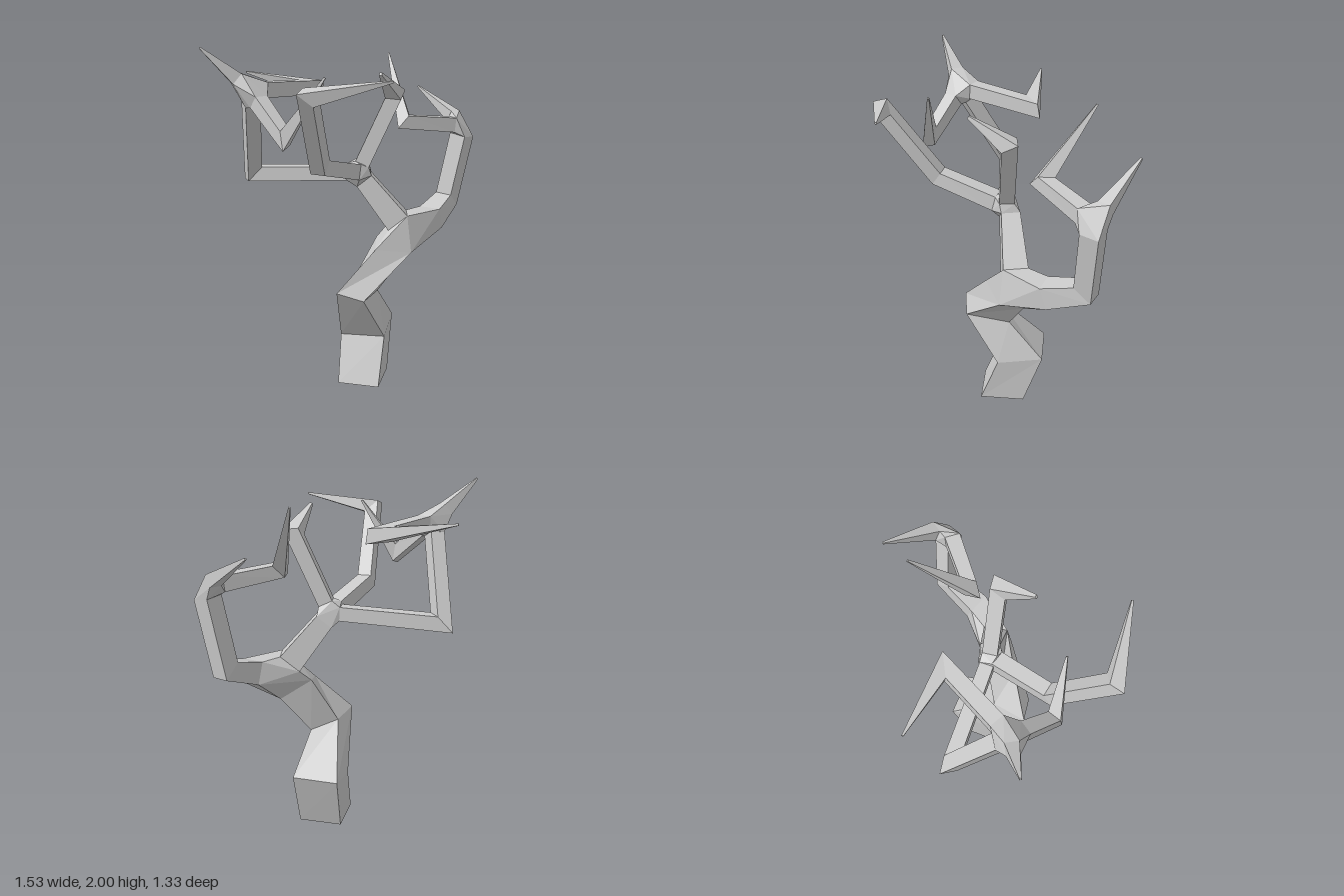
import * as THREE from 'three';
import { ConvexGeometry } from 'three/addons/geometries/ConvexGeometry.js';

const V = (p) => new THREE.Vector3(...p);
const UP = new THREE.Vector3(0, 1, 0);

// Joins four-cornered rings (counter-clockwise about the direction of travel) and caps both ends
function loft(rings) {
  const pos = [];
  const quad = (a, b, c, d) => [a, b, c, a, c, d].forEach((p) => pos.push(p.x, p.y, p.z));
  for (let i = 0; i + 1 < rings.length; i++) {
    for (let k = 0; k < 4; k++) {
      const n = (k + 1) % 4;
      quad(rings[i][k], rings[i][n], rings[i + 1][n], rings[i + 1][k]);
    }
  }
  const first = rings[0], last = rings[rings.length - 1];
  quad(first[3], first[2], first[1], first[0]);
  quad(last[0], last[1], last[2], last[3]);
  const g = new THREE.BufferGeometry();
  g.setAttribute('position', new THREE.Float32BufferAttribute(pos, 3));
  g.computeVertexNormals();
  return g;
}

// Square rings along a path of [x, y, z, halfWidth], mitred at the bends
function limbRings(nodes) {
  const pts = nodes.map(([x, y, z]) => V([x, y, z]));
  const dirs = pts.slice(1).map((p, i) => p.clone().sub(pts[i]).normalize());
  const u = UP.clone().addScaledVector(dirs[0], -UP.dot(dirs[0])).normalize();
  const v = dirs[0].clone().cross(u);
  return pts.map((p, i) => {
    const d = dirs[Math.max(i - 1, 0)];
    const next = dirs[Math.min(i, dirs.length - 1)];
    const n = d.clone().add(next).normalize();
    const ring = [[1, 1], [-1, 1], [-1, -1], [1, -1]].map(([a, b]) => {
      const o = u.clone().multiplyScalar(a).addScaledVector(v, b).multiplyScalar(nodes[i][3]);
      o.addScaledVector(d, -o.dot(n) / d.dot(n));
      return o.add(p);
    });
    const turn = new THREE.Quaternion().setFromUnitVectors(d, next);
    u.applyQuaternion(turn);
    v.applyQuaternion(turn);
    return ring;
  });
}

// Node moved from a towards b by a distance, with its own half width
function toward(a, b, dist, half) {
  const p = V(a.slice(0, 3));
  const d = V(b.slice(0, 3)).sub(p).normalize();
  return [...p.addScaledVector(d, dist).toArray(), half];
}

export function createModel() {
  const group = new THREE.Group();
  const material = new THREE.MeshStandardMaterial({ color: 0xcccccc, flatShading: true });
  const add = (name, geometry) => {
    const mesh = new THREE.Mesh(geometry, material);
    mesh.name = name;
    group.add(mesh);
  };
  const limb = (name, nodes) => {
    const rings = limbRings(nodes);
    add(name, loft(rings));
    return { start: rings[0], end: rings[rings.length - 1] };
  };
  const hub = (name, ...rings) => add(name, new ConvexGeometry(rings.flat()));

  // Crooked trunk
  const trunk = [
    [[0.185, 0, 0.14], [0.245, 0, -0.115], [0, 0, -0.17], [-0.055, 0, 0.085]],
    [[0.22, 0.286, 0.04], [0.275, 0.33, -0.22], [0.017, 0.325, -0.28], [-0.04, 0.275, -0.02]],
    [[0.095, 0.575, 0.21], [0.18, 0.555, -0.035], [0.02, 0.61, 0], [-0.06, 0.62, 0.2]],
    [[0.37, 0.82, 0.05], [0.35, 0.77, -0.09], [0.17, 0.88, -0.07], [0.16, 0.85, 0.1]],
  ].map((ring) => ring.map(V));
  add('trunk', loft(trunk));

  // Branching points
  const crown = [0.06, 1.28, -0.03];
  const leftHub = [0.7, 1.5, -0.37];
  const rightHub = [-0.52, 1.77, 0.16];

  // Upper trunk and left bough, joined at the main fork
  const upper = limb('upperTrunk', [[0.29, 0.99, -0.045, 0.07], [0.095, 1.235, -0.045, 0.053]]);
  const elbow = [0.61, 1.04, -0.375, 0.052];
  const leftBough = limb('leftBough', [
    [0.5, 0.97, -0.19, 0.065], elbow, toward(leftHub, elbow, 0.06, 0.052),
  ]);
  hub('mainFork', trunk[3], upper.start, leftBough.start);

  // Left bough: inner twig and back spike
  const innerBend = [0.325, 1.55, -0.18, 0.038];
  const innerTwig = limb('leftInnerTwig', [
    toward(leftHub, innerBend, 0.09, 0.043), innerBend, [0.24, 1.92, -0.467, 0.005],
  ]);
  const backTip = [0.437, 1.7, -0.66, 0.005];
  const backSpike = limb('leftBackSpike', [toward(leftHub, backTip, 0.1, 0.036), backTip]);
  hub('leftFork', leftBough.end, innerTwig.start, backSpike.start);

  // Three boughs from the crown
  const midBend = [0.265, 1.73, -0.015, 0.042];
  const midBough = limb('middleBough', [
    toward(crown, midBend, 0.06, 0.042), midBend, [0.178, 1.86, 0.182, 0.008],
  ]);
  const frontBend = [-0.14, 1.385, 0.33, 0.042];
  const frontBough = limb('frontBough', [
    toward(crown, frontBend, 0.06, 0.045), frontBend,
    [-0.18, 1.79, 0.62, 0.04], [0.23, 1.87, 0.645, 0.005],
  ]);
  const rightBend = [-0.56, 1.25, -0.14, 0.042];
  const rightBough = limb('rightBough', [
    toward(crown, rightBend, 0.06, 0.04), rightBend, toward(rightHub, rightBend, 0.08, 0.042),
  ]);
  hub('crownFork', upper.end, midBough.start, frontBough.start, rightBough.start);

  // Right bough: top spike, front twig and back twig
  const topTip = [-0.767, 2, 0.242, 0.005];
  const topSpike = limb('rightTopSpike', [toward(rightHub, topTip, 0.1, 0.036), topTip]);
  const frontTwigBend = [-0.32, 1.545, 0.365, 0.035];
  const frontTwig = limb('rightFrontTwig', [
    toward(rightHub, frontTwigBend, 0.09, 0.04), frontTwigBend, [-0.11, 1.86, 0.37, 0.005],
  ]);
  const backTwigBend = [-0.21, 1.745, -0.215, 0.04];
  const backTwig = limb('rightBackTwig', [
    toward(rightHub, backTwigBend, 0.09, 0.042), backTwigBend, [-0.61, 1.82, -0.33, 0.005],
  ]);
  hub('rightFork', rightBough.end, topSpike.start, frontTwig.start, backTwig.start);

  return group;
}
